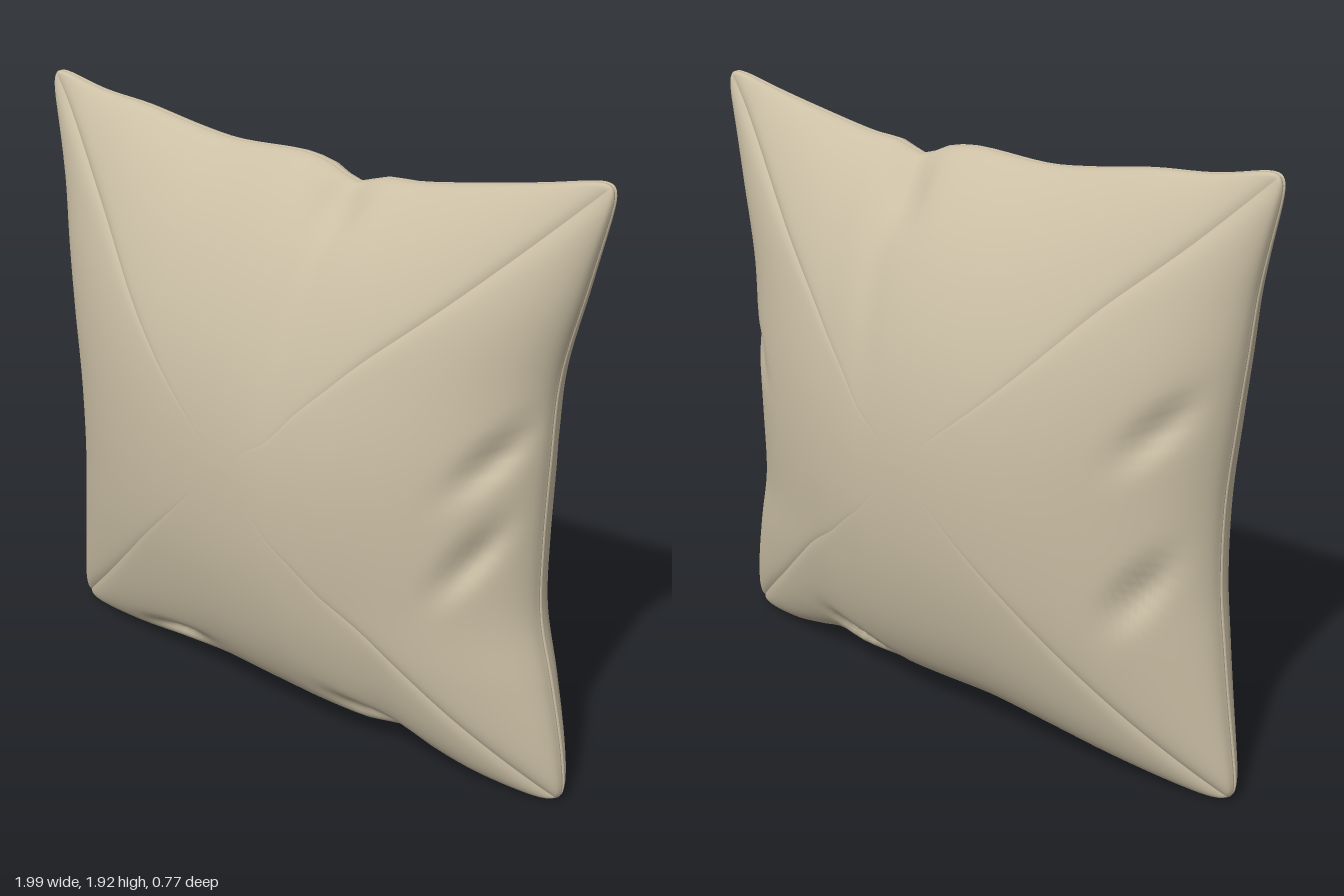
import * as THREE from 'three';

// Edge outlines: [position along edge, height or width]
const TOP = [[-1, 1.94], [-0.8, 1.89], [-0.6, 1.87], [-0.4, 1.838], [-0.25, 1.823], [0, 1.832], [0.1, 1.815],
  [0.19, 1.778], [0.28, 1.806], [0.4, 1.815], [0.6, 1.85], [0.8, 1.89], [1, 1.94]];
const BOTTOM = [[-1, 0], [-0.8, 0.02], [-0.6, 0.045], [-0.4, 0.075], [-0.2, 0.097], [0, 0.092], [0.35, 0.08],
  [0.48, 0.09], [0.6, 0.058], [0.75, 0.022], [1, -0.005]];
const LEFT_X = [[0, -1], [0.3, -0.95], [0.5, -0.92], [0.7, -0.895], [0.95, -0.89], [1.2, -0.91], [1.4, -0.93],
  [1.6, -0.95], [1.92, -1.012]];
const RIGHT_X = [[0, 0.992], [0.2, 0.96], [0.4, 0.915], [0.6, 0.865], [0.8, 0.855], [1.1, 0.86], [1.35, 0.872],
  [1.6, 0.93], [1.92, 1.008]];

// Wrinkles: x, y, angle in degrees, length, width, relative depth
const WRINKLES = {
  front: [[0.78, 1.15, 50, 0.12, 0.04, 0.3], [0.74, 0.84, 58, 0.13, 0.04, 0.24], [0.2, 1.76, 80, 0.07, 0.06, 0.4],
    [-0.4, 0.16, 15, 0.14, 0.03, 0.22], [0.42, 0.15, -20, 0.12, 0.035, 0.22]],
  back: [[-0.78, 1.22, 130, 0.12, 0.04, 0.22], [-0.75, 0.72, 122, 0.12, 0.04, 0.25], [0.15, 1.74, 65, 0.1, 0.05, 0.3],
    [0.3, 0.17, 20, 0.12, 0.03, 0.25], [0.78, 1.1, 40, 0.1, 0.04, 0.15]],
};

// Smooth curve through sorted points
function curveAt(pts, x) {
  let i = 0;
  while (i < pts.length - 2 && x > pts[i + 1][0]) i++;
  const slope = (k) => {
    const a = pts[Math.max(0, k - 1)], b = pts[Math.min(pts.length - 1, k + 1)];
    return (b[1] - a[1]) / (b[0] - a[0]);
  };
  const [x0, y0] = pts[i], [x1, y1] = pts[i + 1], h = x1 - x0, t = (x - x0) / h;
  const t2 = t * t, t3 = t2 * t;
  return (2 * t3 - 3 * t2 + 1) * y0 + (t3 - 2 * t2 + t) * h * slope(i)
    + (3 * t2 - 2 * t3) * y1 + (t3 - t2) * h * slope(i + 1);
}

// Puffed height over the unit square, fuller toward the bottom
function puff(a, b) {
  const ha = Math.max(0, 1 - a * a), hb = Math.max(0, 1 - b * b);
  return 0.37 * ha ** 0.57 * hb ** (0.57 + 0.18 * b) * (1 - 0.04 * b * hb);
}

// Square perimeter, counter-clockwise, denser at the corners
const PER_SIDE = 64;
const perimeter = [];
for (let side = 0; side < 4; side++) {
  for (let k = 0; k < PER_SIDE; k++) {
    const e = Math.sin((Math.PI / 2) * ((2 * k) / PER_SIDE - 1));
    perimeter.push([[1, e], [-e, 1], [-1, -e], [e, -1]][side]);
  }
}

// Rings from centre to edge, ending in a rounded lip that dips into the seam
const RINGS = 44;
const rings = [];
for (let i = 0; i <= RINGS; i++) {
  const k = i / RINGS;
  rings.push({ s: 1 - (1 - k) ** 1.9, lip: 0.017 * Math.min(1, Math.sqrt((1 - k) * 8 + 0.5)) });
}
rings.push({ s: 1.002, lip: 0.007 }, { s: 0.998, lip: 0.003 }, { s: 0.988, lip: 0 });

function cushionHalf(sign, wrinkles) {
  const pos = [], index = [], n = perimeter.length;
  rings.forEach(({ s, lip }, i) => {
    for (const [pa, pb] of perimeter) {
      const a = pa * s, b = pb * s;
      // Round the corners of the square
      const round = 1 / (Math.abs(pa) ** 30 + Math.abs(pb) ** 30) ** (1 / 30);
      const u = a * round, v = b * round, ny = 0.96 + 0.96 * v;
      const x = THREE.MathUtils.lerp(curveAt(LEFT_X, ny), curveAt(RIGHT_X, ny), (u + 1) / 2);
      const y = THREE.MathUtils.lerp(curveAt(BOTTOM, u), curveAt(TOP, u), (v + 1) / 2);
      let z = i >= RINGS ? 0 : puff(a, b);
      for (const [wx, wy, deg, len, wid, depth] of wrinkles) {
        const c = Math.cos(deg * Math.PI / 180), d = Math.sin(deg * Math.PI / 180);
        const along = ((x - wx) * c + (y - wy) * d) / len, across = ((y - wy) * c - (x - wx) * d) / wid;
        z *= 1 - depth * Math.exp(-along * along - across * across);
      }
      pos.push(x, y, sign * (z + lip * 0.8));
    }
  });
  for (let i = 0; i < rings.length - 1; i++) {
    for (let j = 0; j < n; j++) {
      const a = i * n + j, d = i * n + (j + 1) % n, b = a + n, c = d + n;
      const faces = i === 0 ? [[a, b, c]] : [[a, b, c], [a, c, d]];
      for (const [p, q, r] of faces) index.push(p, ...(sign > 0 ? [q, r] : [r, q]));
    }
  }
  const geometry = new THREE.BufferGeometry();
  geometry.setAttribute('position', new THREE.Float32BufferAttribute(pos, 3));
  geometry.setIndex(index);
  geometry.computeVertexNormals();
  return geometry;
}

export function createModel() {
  const group = new THREE.Group();
  group.name = 'cushion';
  const fabric = new THREE.MeshStandardMaterial({ color: 0xcbbfa5 });
  fabric.name = 'beige fabric';

  // Front and back panels meet at the seam
  for (const [name, sign] of [['front', 1], ['back', -1]]) {
    const panel = new THREE.Mesh(cushionHalf(sign, WRINKLES[name]), fabric);
    panel.name = name + 'Panel';
    group.add(panel);
  }
  return group;
}
